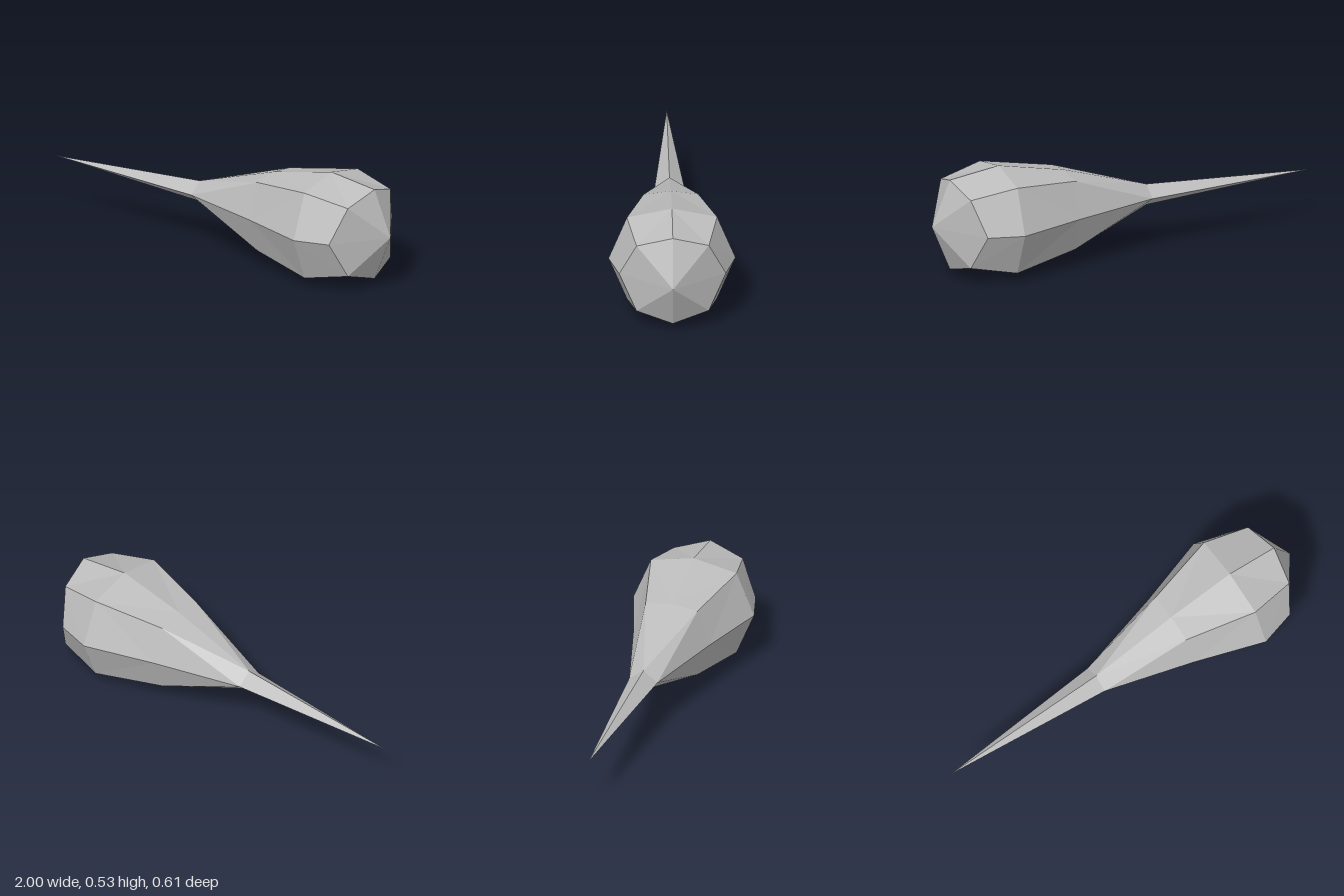
import * as THREE from 'three';

// Cross-sections along x: top, side and diagonal vertices as [x, y offset, z]
const MID = 0.267;
const SECTIONS = [
  { top: [-1, 0, 0], diag: [-1, 0, 0], side: [-1, 0, 0] },
  { top: [-0.14, 0.053, 0], diag: [-0.14, 0.0265, 0.036], side: [-0.14, 0, 0.072] },
  { top: [0.3, 0.192, 0], diag: [0.3, 0.175, 0.132], side: [0.3, 0, 0.195] },
  { top: [0.645, 0.264, 0], diag: [0.645, 0.218, 0.218], side: [0.645, 0, 0.307] },
  { top: [0.905, 0.228, 0], diag: [0.873, 0.174, 0.175], side: [0.82, 0, 0.258] },
  { top: [1, 0, 0], diag: [1, 0, 0], side: [1, 0, 0] },
];

// Mirror one quarter section into a closed ring of eight points
function ring({ top, diag, side }) {
  const at = ([x, y, z], sy, sz) => new THREE.Vector3(x, MID + y * sy, z * sz);
  return [
    at(top, 1, 1), at(diag, 1, 1), at(side, 1, 1), at(diag, -1, 1),
    at(top, -1, 1), at(diag, -1, -1), at(side, 1, -1), at(diag, 1, -1),
  ];
}

// Skin neighbouring rings with flat facets, dropping empty ones at the tips
function skin(rings) {
  const points = [];
  const add = (a, b, c) => {
    if (new THREE.Triangle(a, b, c).getArea() > 1e-7) points.push(a, b, c);
  };
  for (let i = 0; i < rings.length - 1; i++) {
    for (let j = 0; j < 8; j++) {
      const k = (j + 1) % 8;
      const a = rings[i][j], b = rings[i][k], c = rings[i + 1][k], d = rings[i + 1][j];
      if (j % 2 === 0) { add(a, b, c); add(a, c, d); }
      else { add(a, b, d); add(b, c, d); }
    }
  }
  const geometry = new THREE.BufferGeometry().setFromPoints(points);
  geometry.computeVertexNormals();
  return geometry;
}

export function createModel() {
  const group = new THREE.Group();
  group.name = 'taperedDrop';
  const grey = new THREE.MeshStandardMaterial({ color: 0xbcbcbc, flatShading: true });
  grey.name = 'grey';
  const rings = SECTIONS.map(ring);

  // Four-sided tail spike, faceted bulb and pointed nose
  const parts = { tailSpike: [0, 2], bulb: [1, 5], nose: [4, 6] };
  for (const [name, [from, to]] of Object.entries(parts)) {
    const mesh = new THREE.Mesh(skin(rings.slice(from, to)), grey);
    mesh.name = name;
    group.add(mesh);
  }
  return group;
}
